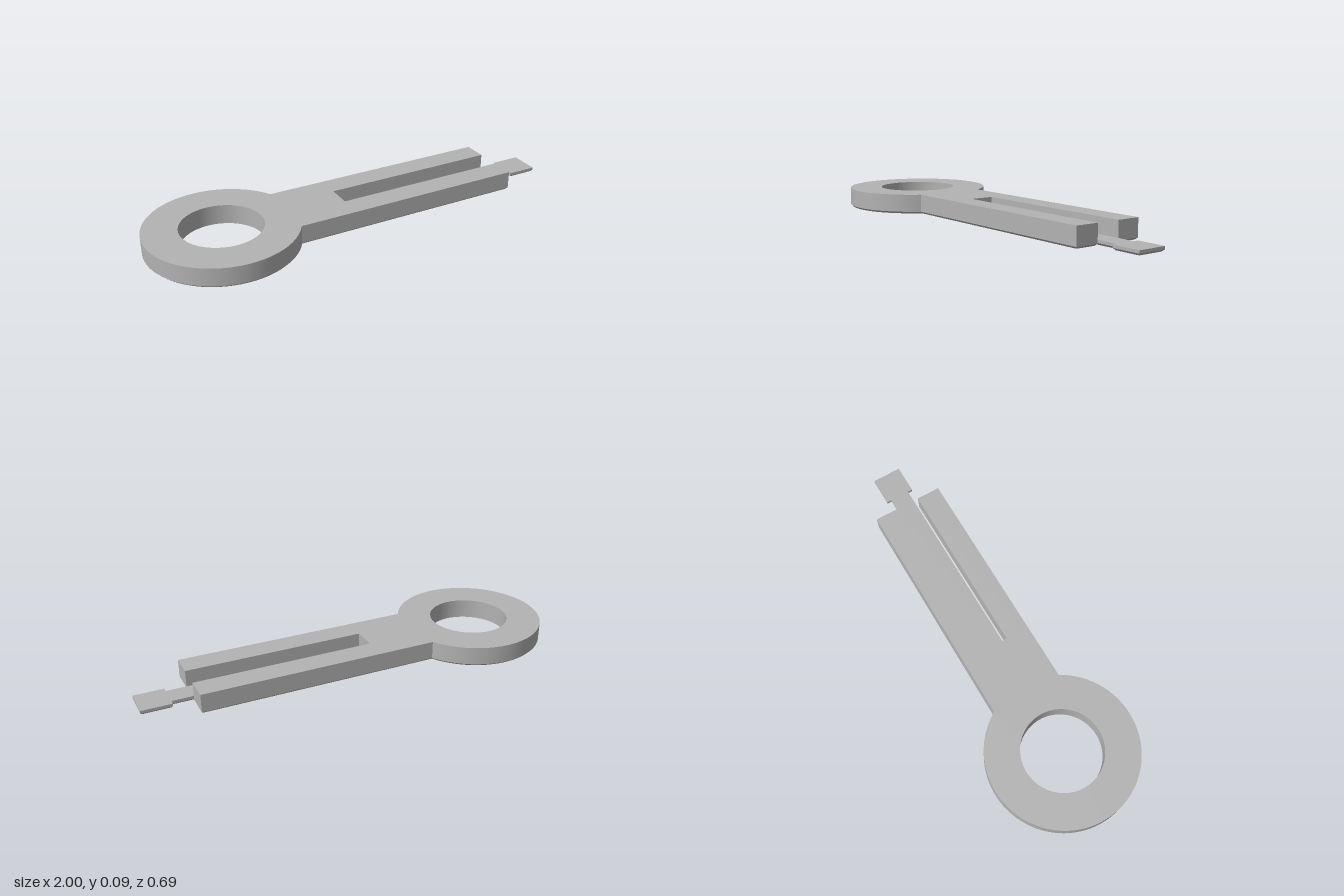
import * as THREE from 'three';
import { toCreasedNormals } from 'three/addons/utils/BufferGeometryUtils.js';

const BEVEL = 0.009;      // chamfer around the underside
const RING_X = -0.653, RING_R = 0.347, HOLE_R = 0.187;
const ARM_Z = 0.17, ARM_END = 0.765;
const SLOT_Z = 0.057, SLOT_X = -0.08;

// Flat plate with a chamfered lower edge. outline(d) gives the
// anticlockwise contour, drawn in by d; holes are clockwise and straight.
function chamferedPlate(outline, top, holes = []) {
  const position = [];
  const push = (p, y) => position.push(p.x, y, -p.y);
  const wall = (low, y0, high, y1) => low.forEach((a, i) => {
    const j = (i + 1) % low.length;
    push(a, y0); push(low[j], y0); push(high[j], y1);
    push(a, y0); push(high[j], y1); push(high[i], y1);
  });
  const cap = (contour, y, up) => {
    const all = contour.concat(...holes);
    for (const [a, b, c] of THREE.ShapeUtils.triangulateShape(contour.slice(), holes.map(h => h.slice()))) {
      for (const k of up ? [a, b, c] : [a, c, b]) push(all[k], y);
    }
  };
  const base = outline(BEVEL), full = outline(0);
  wall(base, 0, full, BEVEL);
  wall(full, BEVEL, full, top);
  holes.forEach(h => wall(h, 0, h, top));
  cap(base, 0, false);
  cap(full, top, true);
  const geometry = new THREE.BufferGeometry();
  geometry.setAttribute('position', new THREE.Float32BufferAttribute(position, 3));
  return toCreasedNormals(geometry, 0.4);
}

function arc(radius, from, to, segments) {
  return Array.from({ length: segments + 1 }, (_, i) => {
    const a = from + (to - from) * i / segments;
    return new THREE.Vector2(RING_X + radius * Math.cos(a), radius * Math.sin(a));
  });
}

// Ring head joined to a two-pronged shank
function bodyOutline(d) {
  const r = RING_R - d, w = ARM_Z - d, s = SLOT_Z + d;
  const end = ARM_END - d, root = SLOT_X - d;
  const join = Math.asin(w / r);
  const prongs = [[end, -w], [end, -s], [root, -s], [root, s], [end, s], [end, w]];
  return arc(r, join, Math.PI * 2 - join, 90)
    .concat(prongs.map(([x, y]) => new THREE.Vector2(x, y)));
}

// Rectangle; the root end can be left joined to the body
const rectangle = (x0, x1, z, rootInset = 1) => d => [
  [x0 + d * rootInset, -z + d], [x1 - d, -z + d], [x1 - d, z - d], [x0 + d * rootInset, z - d],
].map(([x, y]) => new THREE.Vector2(x, y));

export function createModel() {
  const group = new THREE.Group();
  const grey = new THREE.MeshStandardMaterial({ color: 0xb3b3b3 });
  grey.name = 'grey';
  const add = (name, geometry) => {
    const mesh = new THREE.Mesh(geometry, grey);
    mesh.name = name;
    group.add(mesh);
  };

  const hole = arc(HOLE_R, Math.PI * 2, 0, 72).slice(0, -1);
  add('ringAndProngs', chamferedPlate(bodyOutline, 0.093, [hole]));

  // Thin springy tongue in the slot, with a wider tip
  add('tongue', chamferedPlate(rectangle(SLOT_X, 0.86, 0.047, -1), 0.022));
  add('tongueTip', chamferedPlate(rectangle(0.86, 1, 0.07), 0.022));
  return group;
}
